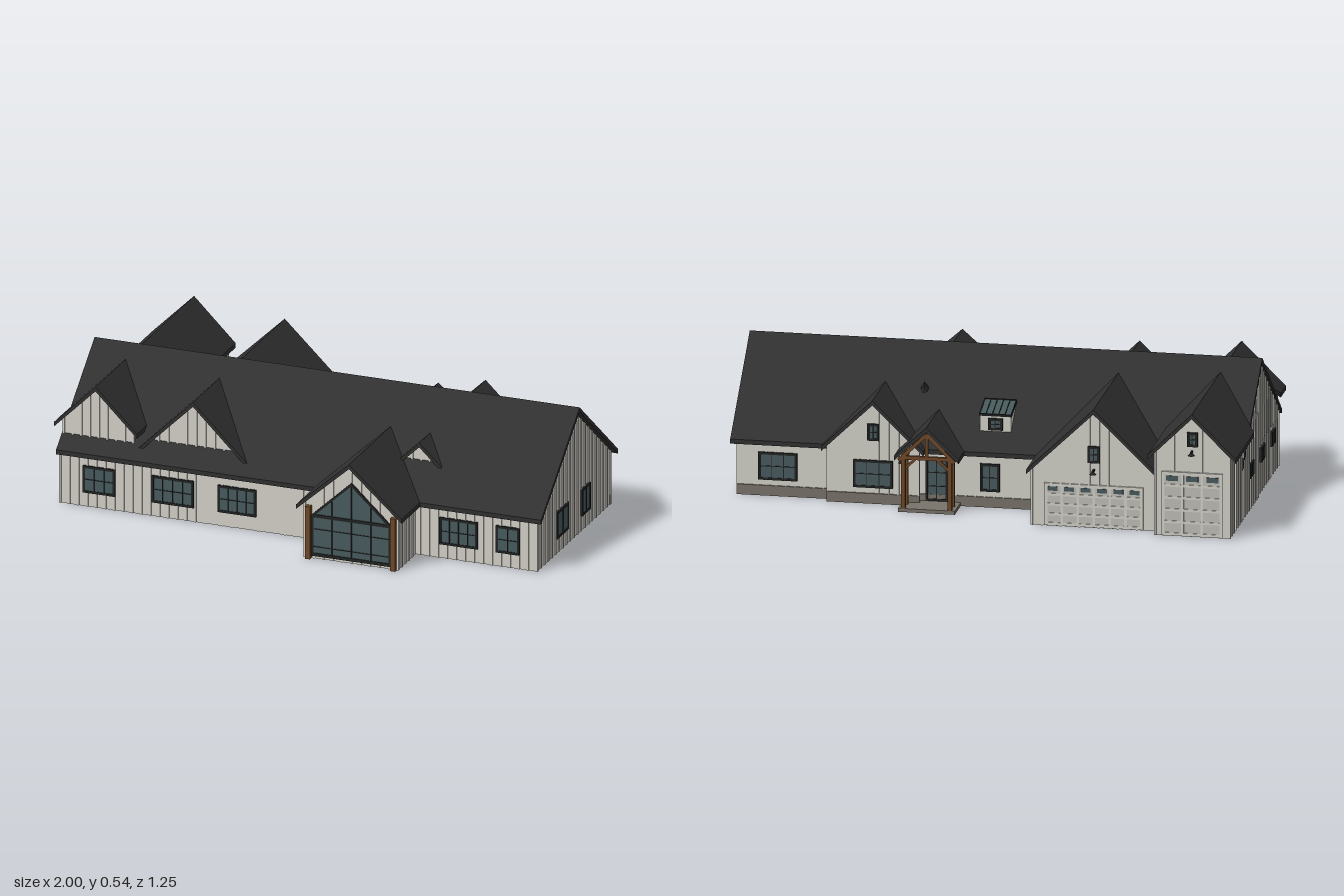
import * as THREE from 'three';
import { mergeGeometries } from 'three/addons/utils/BufferGeometryUtils.js';

const mat = (name, color) => Object.assign(new THREE.MeshStandardMaterial({ color }), { name });
const M = {
  wall: mat('cream siding', 0xd2d0c8), roof: mat('charcoal roof', 0x303030),
  trim: mat('black trim', 0x222423), glass: mat('window glass', 0x485a5d),
  wood: mat('timber', 0x6f4828), door: mat('garage door', 0xbfbdb7), stone: mat('stone base', 0x78736a),
};

// Main roof section: ridge height, ridge z, half depth, eave height
const RIDGE = 0.535, RZ = 0.04, HALF = 0.397, EAVE = 0.22;
const SLOPE = (RIDGE - EAVE) / HALF;
const roofZ = (y, sign) => RZ + sign * (RIDGE - y) / SLOPE;

const add = (parent, name, geo, material) => {
  const m = new THREE.Mesh(geo, material);
  m.name = name;
  parent.add(m);
  return m;
};
const box = (w, h, d, x = 0, y = 0, z = 0) => new THREE.BoxGeometry(w, h, d).translate(x, y, z);

// Sloping slab from four top corners, counter-clockwise seen from above
function slab(top, t) {
  const pos = [...top, ...top.map(([x, y, z]) => [x, y - t, z])].flat();
  const idx = [0, 1, 2, 0, 2, 3, 4, 6, 5, 4, 7, 6];
  for (let i = 0; i < 4; i++) {
    const j = (i + 1) % 4;
    idx.push(i, i + 4, j + 4, i, j + 4, j);
  }
  const g = new THREE.BufferGeometry();
  g.setAttribute('position', new THREE.Float32BufferAttribute(pos, 3));
  g.setIndex(idx);
  const flat = g.toNonIndexed();
  flat.computeVertexNormals();
  return flat;
}

// Gabled volume along z: walls, vertical battens and two roof slabs ending in the valley
function gable(parent, name, o) {
  const { cx, half, ridge, eave, zOut, wallZ, base = 0 } = o;
  const sign = Math.sign(zOut);
  const inner = o.inner || (y => roofZ(y, sign));
  const s = (ridge - eave) / half;
  const group = new THREE.Group();
  group.name = name;
  parent.add(group);

  const parts = [-1, 1].map(side => {
    const x = cx + side * half;
    const top = [[cx, ridge, inner(ridge)], [cx, ridge, zOut], [x, eave, zOut], [x, eave, inner(eave)]];
    if (side * (zOut - inner(ridge)) < 0) top.reverse();
    return slab(top, 0.018);
  });
  add(group, 'roof', mergeGeometries(parts), M.roof);
  if (!o.wallHalf) return group;

  const hw = o.wallHalf, wallIn = o.wallIn ?? inner(ridge);
  const topAt = u => ridge - Math.abs(u) * s - 0.012;
  const shape = new THREE.Shape([[-hw, base], [hw, base], [hw, topAt(hw)], [0, topAt(0)], [-hw, topAt(hw)]]
    .map(([u, y]) => new THREE.Vector2(cx + u, y)));
  const walls = new THREE.ExtrudeGeometry(shape, { depth: Math.abs(wallZ - wallIn), bevelEnabled: false });
  add(group, 'walls', walls.translate(0, 0, Math.min(wallZ, wallIn)), M.wall);

  const strips = [];
  const n = Math.round(2 * hw / 0.037);
  for (let i = 0; i <= n; i++) {
    const u = -hw + 2 * hw * i / n, h = topAt(u) - base;
    for (const z of o.inner ? [wallZ, wallIn] : [wallZ]) strips.push(box(0.008, h, 0.008, cx + u, base + h / 2, z));
  }
  const len = wallIn - wallZ, k = Math.round(Math.abs(len) / 0.037), h = topAt(hw) - base;
  for (let i = 0; i <= k; i++)
    for (const side of [-1, 1]) strips.push(box(0.008, h, 0.008, cx + side * hw, base + h / 2, wallZ + len * i / k));
  add(group, 'battens', mergeGeometries(strips), M.wall);
  return group;
}

// Rectangular grid of bars in the local xy plane
function bars(w, h, cols, rows, edge, thin) {
  const g = [];
  for (let i = 0; i <= cols; i++) g.push(box(i % cols ? thin : edge, h + edge, 0.01, -w / 2 + w * i / cols, 0, 0.004));
  for (let i = 0; i <= rows; i++) g.push(box(w + edge, i % rows ? thin : edge, 0.01, 0, -h / 2 + h * i / rows, 0.004));
  return mergeGeometries(g);
}

// Framed window; turn is the wall direction about y
function windowAt(parent, x, y, z, turn, w, h, cols = 2, rows = 2) {
  const g = new THREE.Group();
  g.name = 'window';
  add(g, 'pane', box(w, h, 0.004, 0, 0, 0.004), M.glass);
  add(g, 'frame', bars(w - 0.008, h - 0.008, cols, rows, 0.009, 0.003), M.trim);
  g.position.set(x, y, z);
  g.rotation.y = turn;
  parent.add(g);
}

function garageDoor(parent, x, z, w, h, cols, rows) {
  const g = new THREE.Group();
  g.name = 'garageDoor';
  add(g, 'panel', box(w, h, 0.01, 0, 0, 0.001), M.door);
  add(g, 'rails', bars(w - 0.01, h - 0.01, cols, rows, 0.012, 0.01), M.wall);
  for (let i = 0; i < cols; i++)
    add(g, 'doorLight', box(w / cols * 0.6, h / rows * 0.4, 0.004, -w / 2 + w * (i + 0.5) / cols, h / 2 - h / rows / 2, 0.006), M.glass);
  g.position.set(x, h / 2 + 0.004, z);
  g.rotation.y = Math.PI;
  parent.add(g);
}

function barnLight(parent, x, y, z) {
  const g = new THREE.Group();
  g.name = 'barnLight';
  add(g, 'arm', box(0.007, 0.007, 0.03, 0, 0.004, -0.015), M.trim);
  add(g, 'shade', new THREE.ConeGeometry(0.014, 0.014, 12).translate(0, 0, -0.026), M.trim);
  g.position.set(x, y, z);
  parent.add(g);
}

// Timber between two points in a plane of constant z
function beam(parent, name, x1, y1, x2, y2, z, t = 0.014) {
  const m = add(parent, name, box(Math.hypot(x2 - x1, y2 - y1), t, t), M.wood);
  m.position.set((x1 + x2) / 2, (y1 + y2) / 2, z);
  m.rotation.z = Math.atan2(y2 - y1, x2 - x1);
}

const houseShape = (hw, y0, y1, top) =>
  [[-hw, y0], [hw, y0], [hw, y1], [0, top], [-hw, y1]].map(p => new THREE.Vector2(...p));

export function createModel() {
  const house = new THREE.Group();
  house.name = 'house';

  // Main block, ridge running along x
  const main = gable(house, 'mainBlock', { cx: -RZ, half: HALF, ridge: RIDGE, eave: EAVE, zOut: 1,
    inner: () => -0.98, wallZ: 0.975, wallIn: -0.97, wallHalf: 0.377 });
  main.rotation.y = Math.PI / 2;

  // Cross gables and dormers
  const wings = {
    tallGarage: { cx: -0.83, half: 0.17, ridge: 0.488, eave: 0.32, zOut: -0.605, wallZ: -0.588, wallHalf: 0.144 },
    wideGarage: { cx: -0.44, half: 0.26, ridge: 0.47, eave: 0.22, zOut: -0.555, wallZ: -0.538, wallHalf: 0.24 },
    backGable: { cx: 0.445, half: 0.197, ridge: 0.41, eave: 0.22, zOut: -0.39, wallZ: -0.37, wallHalf: 0.175 },
    porchRoof: { cx: 0.222, half: 0.125, ridge: 0.338, eave: 0.22, zOut: -0.468 },
    greatRoom: { cx: 0.29, half: 0.215, ridge: 0.412, eave: 0.22, zOut: 0.625, wallZ: 0.598, wallHalf: 0.19 },
    cornerDormer: { cx: -0.83, half: 0.17, ridge: 0.488, eave: 0.32, zOut: 0.41, wallZ: 0.375, wallHalf: 0.142, base: 0.2 },
    frontDormer: { cx: -0.44, half: 0.22, ridge: 0.474, eave: 0.258, zOut: 0.39, wallZ: 0.355, wallHalf: 0.19, base: 0.2 },
    smallDormer: { cx: 0.453, half: 0.09, ridge: 0.41, eave: 0.325, zOut: 0.312, wallZ: 0.292, wallHalf: 0.072, base: 0.25 },
  };
  for (const [name, o] of Object.entries(wings)) gable(house, name, o);

  // Windows on the four sides
  const F = 0.417, B = -0.337;
  for (const [x, w, c] of [[-0.81, 0.13, 3], [-0.51, 0.17, 4], [-0.247, 0.155, 4], [0.657, 0.155, 4], [0.858, 0.095, 2]])
    windowAt(house, x, 0.112, F, 0, w, 0.108, c, 2);
  windowAt(house, 0.975, 0.117, 0.165, Math.PI / 2, 0.12, 0.108, 2, 1);
  windowAt(house, 0.975, 0.117, -0.073, Math.PI / 2, 0.085, 0.108, 2, 1);
  for (const z of [-0.165, 0.06, 0.27]) windowAt(house, -0.973, 0.155, z, -Math.PI / 2, 0.075, 0.055, 2, 1);
  for (const [x, y, z, w, h, c] of [[0.82, 0.117, B, 0.15, 0.108, 3], [0.445, 0.117, -0.37, 0.15, 0.108, 3],
    [0.0, 0.117, B, 0.075, 0.108, 2], [0.445, 0.282, -0.37, 0.045, 0.065, 2],
    [-0.44, 0.29, -0.538, 0.045, 0.065, 2], [-0.83, 0.385, -0.588, 0.04, 0.055, 2]])
    windowAt(house, x, y, z, Math.PI, w, h, c, 2);

  // Garage doors and lamps
  garageDoor(house, -0.44, -0.538, 0.38, 0.165, 6, 4);
  garageDoor(house, -0.83, -0.588, 0.235, 0.25, 3, 5);
  barnLight(house, -0.83, 0.335, -0.588);
  barnLight(house, -0.44, 0.225, -0.538);
  barnLight(house, 0.33, 0.18, -0.37);

  // Glazed gable wall of the great room
  const glazing = new THREE.Group();
  glazing.name = 'glassGable';
  glazing.position.set(0.292, 0, 0.6);
  const frame = new THREE.Shape(houseShape(0.163, 0.012, 0.178, 0.33));
  frame.holes.push(new THREE.Path(houseShape(0.154, 0.024, 0.174, 0.317)));
  add(glazing, 'frame', new THREE.ExtrudeGeometry(frame, { depth: 0.008, bevelEnabled: false }), M.trim);
  const pane = new THREE.Shape(houseShape(0.158, 0.016, 0.176, 0.324));
  add(glazing, 'pane', new THREE.ExtrudeGeometry(pane, { depth: 0.004, bevelEnabled: false }), M.glass);
  add(glazing, 'mullions', mergeGeometries([
    box(0.316, 0.012, 0.008, 0, 0.176, 0.004), box(0.316, 0.003, 0.007, 0, 0.122, 0.0035), box(0.316, 0.003, 0.007, 0, 0.05, 0.0035),
    box(0.004, 0.3, 0.007, 0, 0.17, 0.0035),
    ...[-0.08, 0.08].map(x => box(0.004, 0.225, 0.007, x, 0.1285, 0.0035)),
  ]), M.trim);
  house.add(glazing);
  for (const x of [0.118, 0.466]) add(house, 'frontPost', box(0.02, 0.214, 0.02, x, 0.107, 0.608), M.wood);

  // Timber entry porch
  const porch = new THREE.Group();
  porch.name = 'entryPorch';
  house.add(porch);
  add(porch, 'slab', box(0.22, 0.014, 0.13, 0.222, 0.007, -0.4), M.stone);
  for (const x of [0.132, 0.312]) {
    for (const z of [-0.4, -0.455]) add(porch, 'post', box(0.016, 0.225, 0.016, x, 0.1125, z), M.wood);
    add(porch, 'sideBeam', box(0.014, 0.016, 0.125, x, 0.212, -0.4), M.wood);
    beam(porch, 'rafter', x + Math.sign(x - 0.222) * 0.018, 0.203, 0.222, 0.309, -0.457);
    beam(porch, 'brace', x, 0.165, x + Math.sign(0.222 - x) * 0.045, 0.208, -0.455, 0.01);
  }
  beam(porch, 'tieBeam', 0.125, 0.214, 0.319, 0.214, -0.455);
  beam(porch, 'kingPost', 0.222, 0.214, 0.222, 0.305, -0.455, 0.012);
  windowAt(porch, 0.205, 0.1, B, Math.PI, 0.085, 0.17, 2, 3);

  // Stone base along the back wall
  add(house, 'stoneBase', box(1.17, 0.04, 0.014, 0.392, 0.02, B), M.stone);
  add(house, 'stoneBase', box(0.36, 0.04, 0.014, 0.445, 0.02, -0.37), M.stone);

  // Shed dormer with a glass roof
  const shed = new THREE.Group();
  shed.name = 'skylightDormer';
  house.add(shed);
  const side = new THREE.Shape([[0.278, 0.25], [0.278, 0.343], [0.17, 0.372], [0.13, 0.36]].map(p => new THREE.Vector2(...p)));
  const body = new THREE.ExtrudeGeometry(side, { depth: 0.12, bevelEnabled: false });
  add(shed, 'walls', body.rotateY(Math.PI / 2).translate(-0.07, 0, 0), M.wall);
  windowAt(shed, -0.01, 0.312, -0.278, Math.PI, 0.055, 0.045, 2, 2);
  const light = new THREE.Group();
  light.name = 'skylight';
  add(light, 'pane', box(0.12, 0.112, 0.006, 0, 0, 0.003), M.glass);
  add(light, 'frame', bars(0.122, 0.112, 5, 1, 0.004, 0.003), M.trim);
  light.position.set(-0.01, 0.3585, -0.225);
  light.rotation.x = -Math.PI / 2 - Math.atan2(0.029, 0.108);
  shed.add(light);

  // Roof vent
  const vent = add(house, 'roofVent', new THREE.ConeGeometry(0.026, 0.04, 3), M.trim);
  vent.position.set(0.29, 0.405, -0.142);
  vent.rotation.y = Math.PI;

  return house;
}
